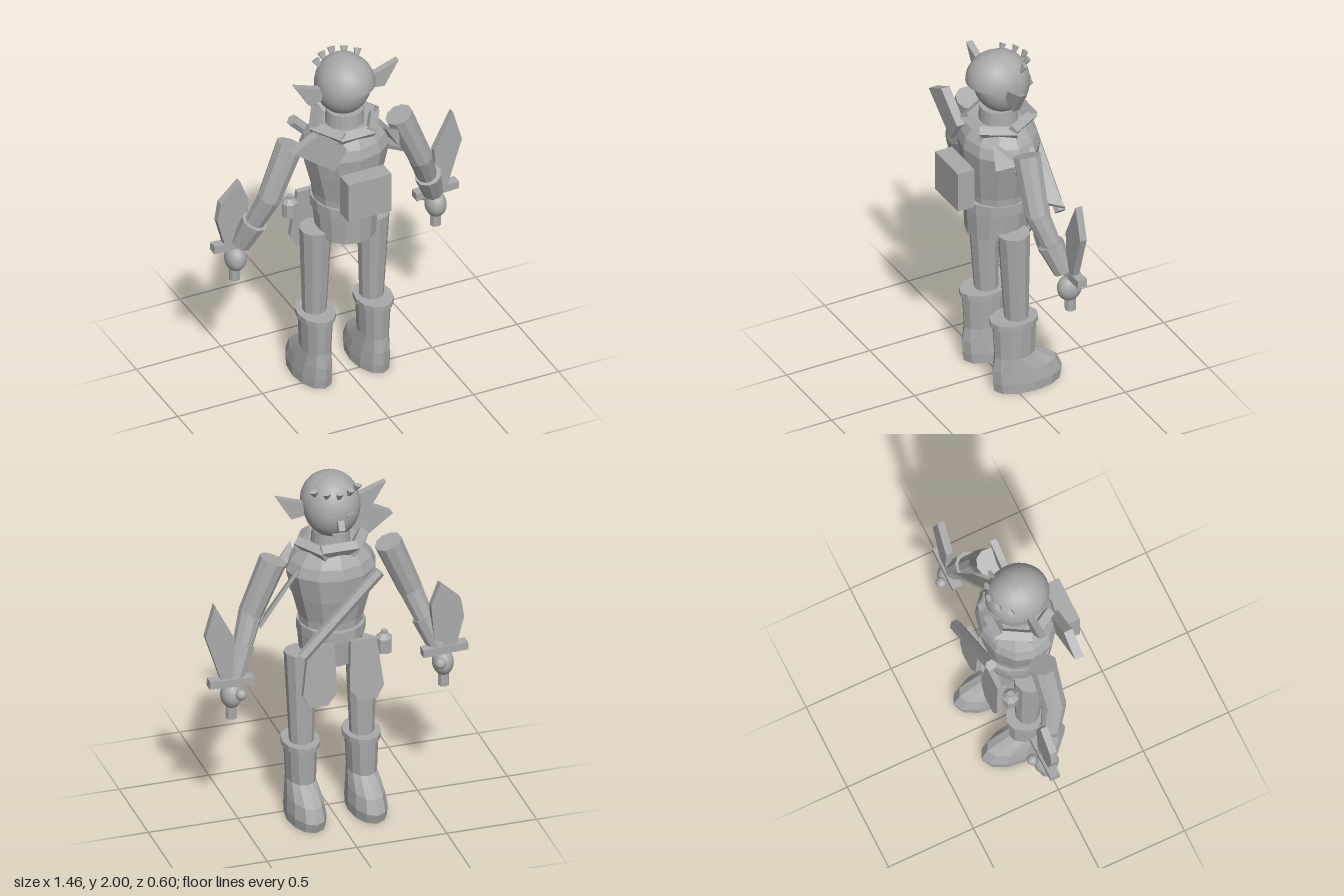
import * as THREE from 'three';
import { ConvexGeometry } from 'three/addons/geometries/ConvexGeometry.js';

const V = (x, y, z) => new THREE.Vector3(x, y, z);

export function createModel() {
  const clay = new THREE.MeshStandardMaterial({ color: 0xaaaaaa });
  clay.name = 'grey clay';
  const root = new THREE.Group();
  root.name = 'goblinScout';
  // body carries the mirrored parts, standing a touch off centre
  const body = new THREE.Group();
  body.name = 'body';
  body.position.x = -0.012;
  root.add(body);

  const add = (parent, name, geo, pos = [0, 0, 0], flat = true) => {
    if (flat) {
      if (geo.index) geo = geo.toNonIndexed();
      geo.computeVertexNormals();
    }
    const m = new THREE.Mesh(geo, clay);
    m.name = name;
    m.position.set(...pos);
    parent.add(m);
    return m;
  };

  const ball = (parent, name, r, pos, scale = [1, 1, 1]) => {
    const m = add(parent, name, new THREE.SphereGeometry(r, 28, 20), pos, false);
    m.scale.set(...scale);
    return m;
  };

  // tapered cylinder between two points
  const limb = (parent, name, a, b, ra, rb, sides = 10) => {
    const A = V(...a), B = V(...b), d = B.clone().sub(A);
    const m = add(parent, name, new THREE.CylinderGeometry(rb, ra, d.length(), sides));
    m.position.copy(A).add(B).multiplyScalar(0.5);
    m.quaternion.setFromUnitVectors(V(0, 1, 0), d.normalize());
    return m;
  };

  // flat plate cut in the xy plane, centred on z
  const plate = (parent, name, pts, z, depth) => {
    const s = new THREE.Shape(pts.map(p => new THREE.Vector2(...p)));
    const g = new THREE.ExtrudeGeometry(s, { depth, bevelEnabled: false });
    return add(parent, name, g, [0, 0, z - depth / 2]);
  };

  // stacked elliptical rings: [y, half width, back z, front z]
  const loft = (rings, n = 12) => {
    const pos = [], idx = [];
    rings.forEach(([y, w, z0, z1]) => {
      for (let i = 0; i < n; i++) {
        const t = i / n * Math.PI * 2;
        pos.push(Math.sin(t) * w, y, (z0 + z1) / 2 + Math.cos(t) * (z0 - z1) / 2);
      }
    });
    rings.forEach((r, k) => {
      if (k === rings.length - 1) return;
      for (let i = 0; i < n; i++) {
        const a = k * n + i, b = k * n + (i + 1) % n;
        idx.push(a, b, b + n, a, b + n, a + n);
      }
    });
    const top = (rings.length - 1) * n;
    for (let i = 1; i < n - 1; i++) {
      idx.push(0, i + 1, i, top, top + i, top + i + 1);
    }
    const g = new THREE.BufferGeometry();
    g.setAttribute('position', new THREE.Float32BufferAttribute(pos, 3));
    g.setIndex(idx);
    return g;
  };

  // torso, belt and hips
  add(body, 'torso', loft([
    [1.1, 0.172, 0.16, -0.18], [1.18, 0.178, 0.165, -0.185], [1.32, 0.215, 0.185, -0.21],
    [1.46, 0.25, 0.2, -0.225], [1.52, 0.225, 0.185, -0.21], [1.6, 0.16, 0.13, -0.16]
  ]));
  add(body, 'belt', loft([[1.08, 0.183, 0.187, -0.215], [1.14, 0.183, 0.187, -0.215]], 14));
  add(body, 'hips', loft([[0.92, 0.162, 0.172, -0.17], [1.09, 0.178, 0.18, -0.19]], 14));

  // neck and head
  add(body, 'neck', new THREE.CylinderGeometry(0.1, 0.11, 0.14, 20), [0, 1.61, -0.01]);
  const head = new THREE.Group();
  head.name = 'head';
  body.add(head);
  ball(head, 'skull', 1, [0, 1.825, -0.03], [0.154, 0.175, 0.152]);
  const dome = new THREE.SphereGeometry(1, 28, 12, 0, Math.PI * 2, 0, Math.PI / 2);
  add(head, 'hairCap', dome, [0, 1.842, 0], false).scale.set(0.158, 0.158, 0.168);
  add(head, 'hairCapUnderside', new THREE.CircleGeometry(1, 28).rotateX(Math.PI / 2),
    [0, 1.842, 0]).scale.set(0.158, 1, 0.168);
  const nose = add(head, 'nose', new THREE.BoxGeometry(0.036, 0.055, 0.035), [0, 1.775, -0.185]);
  nose.rotation.x = 0.5;
  add(head, 'mouth', new THREE.BoxGeometry(0.07, 0.012, 0.02), [0, 1.705, -0.148]);
  for (const s of [-1, 1]) {
    const eye = add(head, 'eye', new THREE.BoxGeometry(0.055, 0.018, 0.012), [s * 0.06, 1.825, -0.169]);
    eye.rotation.set(0, s * -0.4, s * 0.1);
    const pts = [[0.13, 1.85], [0.19, 1.865], [0.306, 1.905], [0.222, 1.765], [0.15, 1.775]];
    plate(head, 'ear', pts.map(([x, y]) => [s * x, y]), 0, 0.038);
  }
  // fringe of short tufts on the brow
  [-0.11, -0.06, 0, 0.06, 0.11].forEach(x => {
    const z = -0.155 + 5.5 * x * x;
    const tuft = add(head, 'hairTuft', new THREE.ConeGeometry(0.024, 0.085, 6), [x, 1.925, z]);
    tuft.scale.z = 0.6;
    tuft.rotation.set(Math.PI - 0.45, 0, x * 3);
  });

  // collar of overlapping slabs, higher on the face side
  for (let i = 0; i < 6; i++) {
    const t = i / 6 * Math.PI * 2;
    const g = new THREE.Group();
    g.name = 'collarFold';
    g.position.set(Math.sin(t) * 0.145, 1.595 - Math.cos(t) * 0.02, -0.015 + Math.cos(t) * 0.14);
    g.rotation.y = t;
    add(g, 'collarSlab', new THREE.BoxGeometry(0.2, 0.06, 0.05)).rotation.x = 0.6;
    body.add(g);
  }

  // pointed scarf tail below the shoulder
  const tail = [V(0.19, 1.49, -0.1), V(0.43, 1.22, -0.17), V(0.37, 1.24, -0.08), V(0.19, 1.38, 0.02)];
  add(root, 'scarfTail', new ConvexGeometry([...tail, ...tail.map(p => p.clone().add(V(0.012, 0.018, 0)))]));
  const wing = [V(0.17, 1.56, 0.12), V(0.29, 1.47, 0.03), V(0.24, 1.44, 0.14), V(0.18, 1.5, 0.0)];
  add(root, 'scarfFold', new ConvexGeometry(wing));

  // arms, hands, legs and boots
  for (const s of [-1, 1]) {
    limb(body, 'upperArm', [s * 0.32, 1.535, -0.01], [s * 0.445, 1.235, -0.005], 0.076, 0.066);
    ball(body, 'elbow', 0.064, [s * 0.445, 1.235, -0.005]);
    limb(body, 'forearm', [s * 0.445, 1.235, -0.005], [s * 0.555, 0.94, -0.095], 0.066, 0.046);
    limb(body, 'bracer', [s * 0.51, 1.075, -0.05], [s * 0.565, 0.92, -0.1], 0.073, 0.056);
    ball(body, 'hand', 1, [s * 0.59, 0.825, -0.12], [0.057, 0.075, 0.068]);
    ball(body, 'thumb', 0.03, [s * 0.555, 0.85, -0.185]);
    add(body, 'daggerGrip', new THREE.CylinderGeometry(0.031, 0.031, 0.24, 8), [s * 0.592, 0.81, -0.125]);
    add(body, 'daggerGuard', new THREE.BoxGeometry(0.25, 0.045, 0.055),
      [s * 0.595, 0.91, -0.13]).rotation.z = s * 0.05;

    limb(body, 'leg', [s * 0.168, 0.38, -0.03], [s * 0.17, 0.965, -0.012], 0.064, 0.088);
    add(body, 'boot', loft([
      [0, 0.1, 0.105, -0.285], [0.055, 0.101, 0.113, -0.3], [0.13, 0.092, 0.115, -0.265],
      [0.21, 0.078, 0.1, -0.135], [0.41, 0.087, 0.112, -0.14]
    ]), [s * 0.17, 0, 0]);
    add(body, 'bootCuff', loft([[0.405, 0.102, 0.125, -0.15], [0.435, 0.102, 0.125, -0.15]]), [s * 0.17, 0, 0]);

    // hanging hip flap with clipped corners
    const flap = [[0.045, 0], [0.19, 0], [0.225, -0.28], [0.185, -0.35], [0.085, -0.35], [0.035, -0.28]];
    const f = plate(body, 'hipFlap', flap.map(([x, y]) => [s * x, y]), 0, 0.03);
    f.position.set(0, 1.085, -0.215);
    f.rotation.x = 0.07;
  }

  // leaf-shaped blades
  plate(root, 'leftBlade', [[0.575, 0.93], [0.565, 1.17], [0.675, 1.385], [0.727, 1.2], [0.64, 0.93]], -0.125, 0.04);
  plate(root, 'rightBlade', [[-0.67, 0.93], [-0.713, 1.09], [-0.695, 1.2], [-0.58, 1.31], [-0.53, 1.18], [-0.55, 0.93]],
    -0.125, 0.04);

  // carried gear
  add(root, 'pack', new THREE.BoxGeometry(0.255, 0.235, 0.1), [-0.013, 1.283, 0.25]);
  plate(root, 'shoulderBoard', [[-0.41, 1.615], [-0.17, 1.435], [-0.095, 1.55], [-0.27, 1.69]], 0.168, 0.05);
  limb(root, 'staff', [0.225, 1.06, -0.255], [-0.205, 1.505, -0.255], 0.032, 0.032, 6);
  add(root, 'vial', new THREE.CylinderGeometry(0.042, 0.042, 0.085, 8), [-0.26, 1.012, -0.165]);
  add(root, 'vialShoulder', new THREE.CylinderGeometry(0.02, 0.046, 0.025, 8), [-0.26, 1.067, -0.165]);
  add(root, 'vialStopper', new THREE.CylinderGeometry(0.018, 0.018, 0.02, 8), [-0.26, 1.085, -0.165]);

  return root;
}
